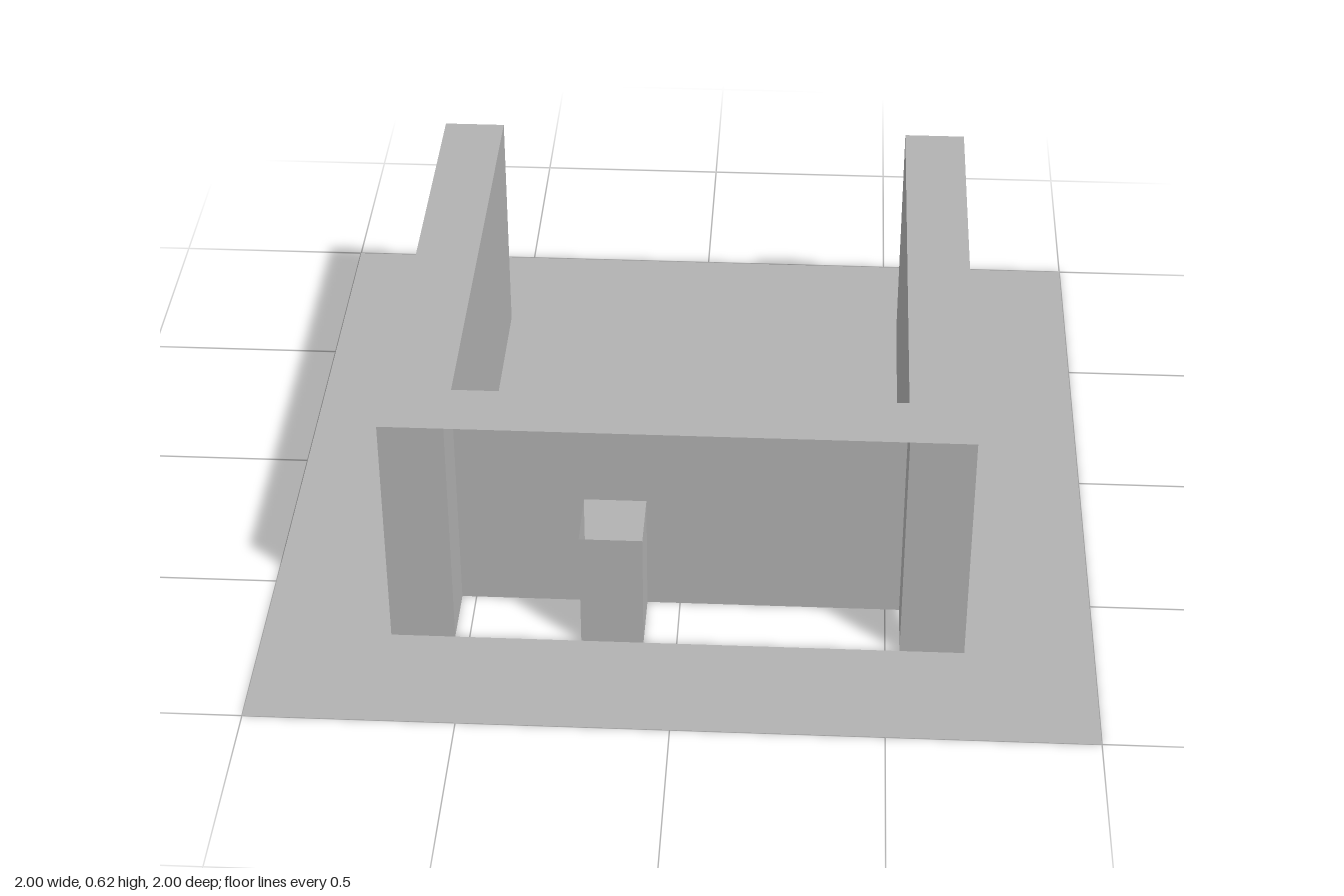
import * as THREE from 'three';

const OUT = 0.69, IN = 0.535, H = 0.62;          // outer wall line, inner wall line, wall height
const DOOR_L = -0.23, DOOR_R = -0.08, DOOR_H = 0.31;

export function createModel() {
  const model = new THREE.Group();
  const grey = new THREE.MeshStandardMaterial({ color: 0xb2b2b2, side: THREE.DoubleSide });
  grey.name = 'plain grey';

  const add = (name, geometry) => {
    const mesh = new THREE.Mesh(geometry, grey);
    mesh.name = name;
    model.add(mesh);
    return mesh;
  };

  const points = (list) => list.map(([x, y]) => new THREE.Vector2(x, y));

  // horizontal sheet from [x, z] outlines
  const sheet = (name, y, outline, holes = []) => {
    const flip = (list) => points(list.map(([x, z]) => [x, -z]));
    const shape = new THREE.Shape(flip(outline));
    holes.forEach((h) => shape.holes.push(new THREE.Path(flip(h))));
    add(name, new THREE.ShapeGeometry(shape).rotateX(-Math.PI / 2)).position.y = y;
  };

  // upright panel standing on the floor between two [x, z] points, facing right of its run when seen from above
  const panel = (name, [x1, z1], [x2, z2], height) => {
    const length = Math.hypot(x2 - x1, z2 - z1);
    const mesh = add(name, new THREE.PlaneGeometry(length, height));
    mesh.position.set((x1 + x2) / 2, height / 2, (z1 + z2) / 2);
    mesh.rotation.y = Math.atan2(z1 - z2, x2 - x1);
  };

  // floor, open beneath the hollow walls but continuous through the doorway
  const slot = (s, doorX) => [
    [s * OUT, -OUT], [s * OUT, OUT], [doorX, OUT],
    [doorX, IN], [s * IN, IN], [s * IN, -OUT],
  ];
  sheet('floor', 0, [[-1, 1], [1, 1], [1, -1], [-1, -1]], [slot(-1, DOOR_L), slot(1, DOOR_R)]);

  // U-shaped top of the walls
  sheet('wallTop', H, [
    [-OUT, OUT], [OUT, OUT], [OUT, -OUT], [IN, -OUT],
    [IN, IN], [-IN, IN], [-IN, -OUT], [-OUT, -OUT],
  ]);

  // side walls: hollow, with the outer skin stopping short of the front corner
  for (const s of [-1, 1]) {
    const side = s < 0 ? 'right' : 'left';
    const run = (name, a, b) => (s > 0 ? panel(name, a, b, H) : panel(name, b, a, H));
    run(side + 'OuterWall', [s * OUT, IN], [s * OUT, -OUT]);
    run(side + 'WallEnd', [s * OUT, -OUT], [s * IN, -OUT]);
    run(side + 'InnerWall', [s * IN, -OUT], [s * IN, IN]);
    run(side + 'CornerFront', [s * IN, OUT], [s * OUT, OUT]);
    run(side + 'CornerReturn', [s * IN, OUT], [s * IN, IN]);
  }

  // recessed front wall with a doorway cut from its foot
  const front = new THREE.Shape(points([
    [-IN, 0], [DOOR_L, 0], [DOOR_L, DOOR_H], [DOOR_R, DOOR_H],
    [DOOR_R, 0], [IN, 0], [IN, H], [-IN, H],
  ]));
  add('frontWall', new THREE.ShapeGeometry(front)).position.z = IN;

  // door niche, open at the top and towards the room
  panel('doorRightJamb', [DOOR_L, IN], [DOOR_L, OUT], DOOR_H);
  panel('doorFront', [DOOR_L, OUT], [DOOR_R, OUT], DOOR_H);
  panel('doorLeftJamb', [DOOR_R, OUT], [DOOR_R, IN], DOOR_H);

  return model;
}
